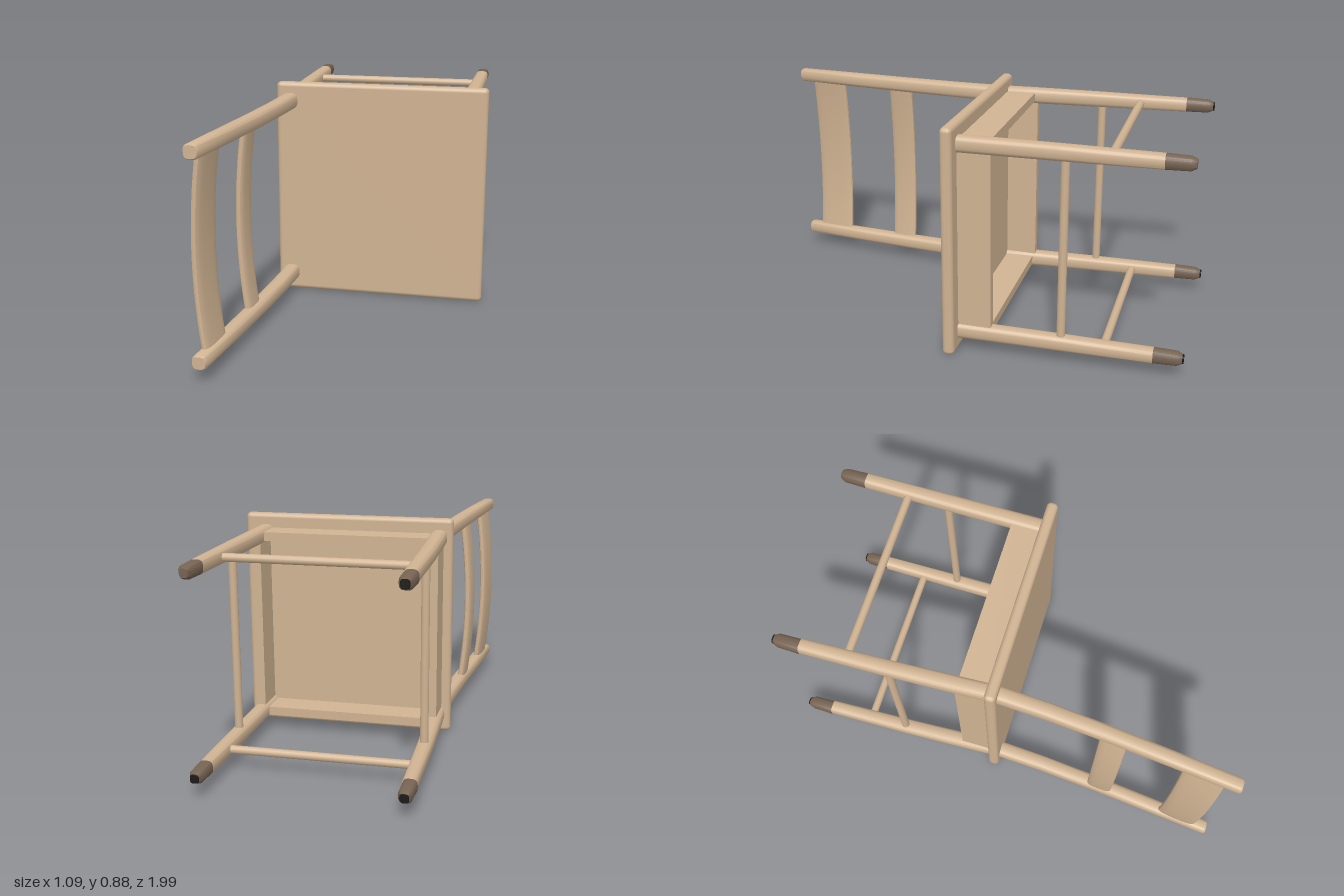
import * as THREE from 'three';
import { toCreasedNormals } from 'three/addons/utils/BufferGeometryUtils.js';
import { RoundedBoxGeometry } from 'three/addons/geometries/RoundedBoxGeometry.js';

const SIDES = 20;

// Rounded-square section point at angle index j
function section(j, power) {
  const a = (j / SIDES) * Math.PI * 2;
  const f = (v) => Math.sign(v) * Math.pow(Math.abs(v), 2 / power);
  return [f(Math.cos(a)), f(Math.sin(a))];
}

// Skin a list of closed rings and cap both ends
function loft(rings) {
  const pos = [], index = [];
  rings.forEach((ring) => ring.forEach((p) => pos.push(...p)));
  const at = (i, j) => i * SIDES + (j % SIDES);
  for (let i = 0; i < rings.length - 1; i++) {
    for (let j = 0; j < SIDES; j++) {
      index.push(at(i, j), at(i + 1, j), at(i, j + 1));
      index.push(at(i + 1, j), at(i + 1, j + 1), at(i, j + 1));
    }
  }
  const last = rings.length - 1;
  for (let j = 1; j < SIDES - 1; j++) {
    index.push(at(0, 0), at(0, j), at(0, j + 1));
    index.push(at(last, 0), at(last, j + 1), at(last, j));
  }
  const g = new THREE.BufferGeometry();
  g.setAttribute('position', new THREE.Float32BufferAttribute(pos, 3));
  g.setIndex(index);
  return toCreasedNormals(g, 0.6);
}

// Upright post from rows of [height, depth, radius]
function post(rows, power = 3) {
  return loft(rows.map(([y, z, r]) => Array.from({ length: SIDES }, (_, j) => {
    const [c, s] = section(j, power);
    return [r * c, y, z + r * s];
  })));
}

// Back slat bowed towards the rear and leaning with the posts
function slat(y, z, height, thick, lean, half, bow) {
  const rings = [], steps = 16;
  for (let i = 0; i <= steps; i++) {
    const t = (i / steps) * 2 - 1;
    const back = bow * (1 - t * t);
    rings.push(Array.from({ length: SIDES }, (_, j) => {
      const [c, s] = section(j, 3);
      const dy = c * height / 2;
      return [t * half, y + dy, z - back + dy * lean - s * thick / 2];
    }));
  }
  return loft(rings);
}

export function createModel() {
  const wood = new THREE.MeshStandardMaterial({ color: 0xd0b392 });
  wood.name = 'light wood';
  const brown = new THREE.MeshStandardMaterial({ color: 0x766352 });
  brown.name = 'brown foot';
  const black = new THREE.MeshStandardMaterial({ color: 0x1c1a19 });
  black.name = 'black pad';

  const chair = new THREE.Group();
  chair.name = 'chair';
  const add = (name, geometry, material, x = 0, y = 0, z = 0) => {
    const m = new THREE.Mesh(geometry, material);
    m.name = name;
    m.position.set(x, y, z);
    chair.add(m);
    return m;
  };

  const LEG_X = 0.367, FRONT = 0.5, REAR = -0.217;

  // Seat board
  add('seat', new RoundedBoxGeometry(0.885, 0.045, 0.855, 3, 0.018), wood, 0, -0.014, 0.157);

  // Apron under the seat
  const depth = FRONT - REAR;
  for (const s of [-1, 1]) {
    add('sideApron', new THREE.BoxGeometry(0.035, 0.12, depth), wood, s * LEG_X, -0.092, (FRONT + REAR) / 2);
  }
  for (const z of [FRONT, REAR]) {
    add('crossApron', new THREE.BoxGeometry(LEG_X * 2, 0.13, 0.035), wood, 0, -0.097, z);
  }

  // Legs, rear posts and their dark feet
  for (const s of [-1, 1]) {
    const x = s * LEG_X;
    add('frontLeg', post([[-0.765, FRONT, 0.027], [-0.4, FRONT, 0.03], [-0.03, FRONT, 0.031]]), wood, x);
    add('rearPost', post([
      [-0.765, -0.244, 0.027], [-0.4, -0.233, 0.03], [-0.12, -0.22, 0.032], [0, -0.214, 0.032],
      [0.2, -0.224, 0.031], [0.42, -0.241, 0.03], [0.68, -0.266, 0.029], [0.938, -0.293, 0.027],
      [0.945, -0.294, 0.023],
    ]), wood, x);
    for (const z of [FRONT, -0.247]) {
      add('foot', post([[-0.87, z, 0.016], [-0.85, z, 0.025], [-0.765, z, 0.027]]), brown, x);
      if (s < 0 || z < 0) {
        add('footPad', post([[-0.874, z, 0.015], [-0.869, z, 0.017]]), black, x);
      }
    }
  }

  // Side stretchers, then the higher front and rear ones
  for (const s of [-1, 1]) {
    add('sideStretcher', new THREE.CylinderGeometry(0.016, 0.016, 0.738, 16), wood, s * LEG_X, -0.583, 0.13)
      .rotation.x = Math.PI / 2;
  }
  for (const z of [FRONT, -0.234]) {
    add('crossStretcher', new THREE.CylinderGeometry(0.016, 0.016, LEG_X * 2, 16), wood, 0, -0.425, z)
      .rotation.z = Math.PI / 2;
  }

  // Curved back slats
  add('upperSlat', slat(0.81, -0.281, 0.16, 0.032, -0.11, LEG_X, 0.028), wood);
  add('lowerSlat', slat(0.461, -0.249, 0.105, 0.032, -0.08, LEG_X, 0.028), wood);

  // Lay the chair on its side, turned by twenty degrees
  const a = THREE.MathUtils.degToRad(20), c = Math.cos(a), n = Math.sin(a);
  chair.quaternion.setFromRotationMatrix(new THREE.Matrix4().makeBasis(
    new THREE.Vector3(0, 1, 0), new THREE.Vector3(n, 0, c), new THREE.Vector3(c, 0, -n)));
  chair.position.y = 0.4425;

  const model = new THREE.Group();
  model.name = 'fallenChair';
  model.add(chair);
  return model;
}
